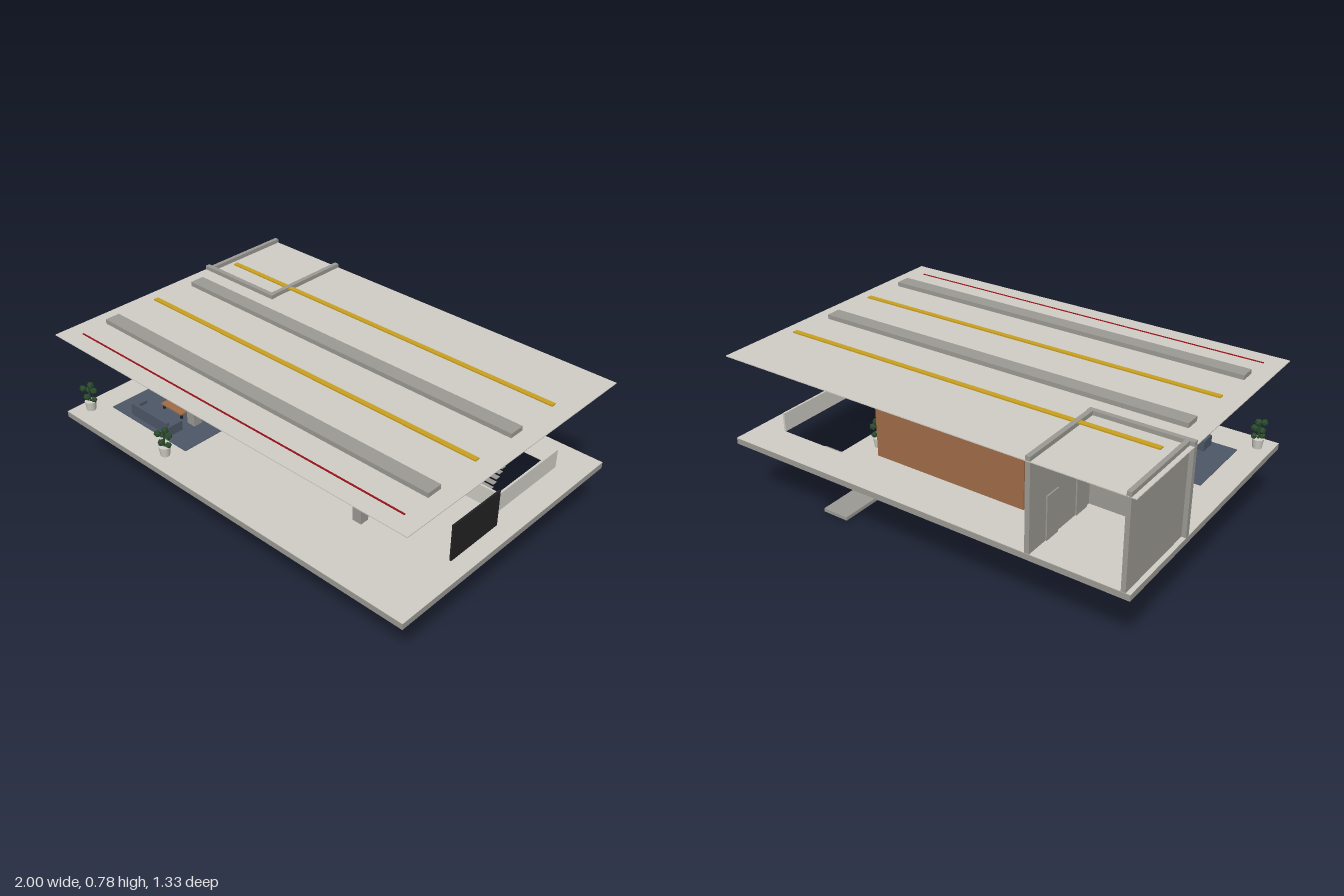
import * as THREE from 'three';

const mat = (name, color) => {
  const m = new THREE.MeshStandardMaterial({ color });
  m.name = name;
  return m;
};

export function createModel() {
  const light = mat('lightPlaster', 0xcfcdc5);
  const grey = mat('concreteGrey', 0x9c9a94);
  const wood = mat('wood', 0xa06b47);
  const red = mat('red', 0xc82d24);
  const darkRed = mat('deepRed', 0x9a1018);
  const yellow = mat('yellow', 0xc9a020);
  const slate = mat('slateBlue', 0x4c5766);
  const black = mat('black', 0x222222);
  const green = mat('leafGreen', 0x2a4a2c);

  const model = new THREE.Group();
  model.name = 'openPavilion';

  const add = (name, geo, material, parent = model) => {
    const m = new THREE.Mesh(geo, material);
    m.name = name;
    parent.add(m);
    return m;
  };
  // Box given by its extents on each axis
  const box = (name, material, [x0, x1], [y0, y1], [z0, z1], parent = model) => {
    const g = new THREE.BoxGeometry(x1 - x0, y1 - y0, z1 - z0);
    g.translate((x0 + x1) / 2, (y0 + y1) / 2, (z0 + z1) / 2);
    return add(name, g, material, parent);
  };
  const group = (name, x = 0, y = 0, z = 0) => {
    const g = new THREE.Group();
    g.name = name;
    g.position.set(x, y, z);
    model.add(g);
    return g;
  };

  // Floor slab and its pale finish, both cut by the stairwell
  const floorLayer = (name, material, y, depth) => {
    const rect = (T, x0, x1, z0, z1) => new T([[x0, -z0], [x1, -z0], [x1, -z1], [x0, -z1]]
      .map(p => new THREE.Vector2(...p)));
    const s = rect(THREE.Shape, -1, 1, -0.667, 0.667);
    s.holes.push(rect(THREE.Path, 0.53, 0.865, -0.5, -0.085));
    const g = new THREE.ExtrudeGeometry(s, { depth, bevelEnabled: false });
    g.rotateX(-Math.PI / 2);
    g.translate(0, y, 0);
    add(name, g, material);
  };
  floorLayer('floorSlab', grey, 0.325, 0.028);
  floorLayer('floorFinish', light, 0.353, 0.002);
  const F = 0.355;

  // Stairwell parapet, floating treads and lower landing
  box('parapetSide', light, [0.862, 0.872], [F, 0.445], [-0.5, -0.08]);
  box('parapetFront', light, [0.52, 0.862], [F, 0.445], [-0.09, -0.08]);
  const steps = 18;
  for (let i = 0; i < steps; i++) {
    const y = 0.02 + i * 0.0176, z = -0.13 - i * 0.0198;
    box('stairTread', grey, [0.53, 0.665], [y, y + 0.004], [z - 0.013, z + 0.013]);
  }
  box('lowerLanding', grey, [0.53, 0.665], [0, 0.017], [-0.5, -0.083]);

  // Columns
  for (const x of [-0.5, 0.5]) for (const z of [-0.207, 0.333])
    box('column', grey, [x - 0.023, x + 0.023], [F, 0.753], [z - 0.022, z + 0.022]);

  // Roof, beams and coloured strips
  box('roof', light, [-1, 1], [0.753, 0.757], [-0.667, 0.667]);
  for (const z of [-0.083, 0.417])
    box('roofBeam', grey, [-0.917, 0.917], [0.751, 0.778], [z - 0.036, z + 0.036]);
  for (const z of [-0.333, 0.167])
    box('yellowStrip', yellow, [-0.917, 0.917], [0.768, 0.774], [z - 0.012, z + 0.012]);
  box('redStrip', darkRed, [-0.917, 0.917], [0.752, 0.759], [0.576, 0.584]);

  // Back corner room, open to the rear
  box('roomFrontWall', grey, [-1, -0.542], [F, 0.776], [-0.235, -0.212]);
  box('roomOuterWall', grey, [-0.98, -0.96], [F, 0.776], [-0.667, -0.235]);
  box('roomInnerWall', grey, [-0.567, -0.545], [F, 0.776], [-0.667, -0.235]);
  for (const z of [-0.515, -0.3])
    box('roomDoor', grey, [-0.573, -0.541], [F, 0.555], [z - 0.04, z + 0.04]);

  // Feature wall with pale panel and red edge line
  box('featureWall', wood, [-0.38, 0.38], [F, 0.72], [-0.427, -0.402]);
  box('featureWallLine', red, [-0.373, 0.373], [0.708, 0.714], [-0.402, -0.397]);
  box('featurePanel', light, [-0.185, 0.185], [0.56, 0.63], [-0.402, -0.394]);

  // Reception desk
  box('deskBody', light, [-0.215, 0.215], [F, 0.443], [-0.225, -0.145]);
  box('deskTop', light, [-0.222, 0.222], [0.443, 0.448], [-0.231, -0.139]);
  box('deskLine', red, [-0.208, 0.208], [0.431, 0.438], [-0.145, -0.141]);
  for (const x of [-0.1, 0.1]) {
    box('monitorScreen', slate, [x - 0.02, x + 0.02], [0.455, 0.477], [-0.206, -0.2]);
    box('monitorStand', black, [x - 0.005, x + 0.005], [0.448, 0.455], [-0.207, -0.201]);
  }

  // Pendant lamps
  for (const [x, z] of [[-0.625, 0.325], [0, 0]])
    add('pendantLamp', new THREE.CylinderGeometry(0.09, 0.09, 0.004, 32), grey).position.set(x, 0.664, z);

  // Wall screen
  box('screen', black, [0.986, 0.994], [0.47, 0.637], [0.108, 0.392]);

  // Lounge: rug, two facing sofas, low table
  box('rug', slate, [-0.875, -0.365], [F, 0.358], [0.145, 0.505]);
  const sofa = (name, material, z, turn) => {
    const g = group(name, -0.63, F, z);
    g.rotation.y = turn;
    box('seat', material, [-0.115, 0.115], [0.005, 0.035], [-0.03, 0.04], g);
    box('backrest', material, [-0.12, 0.12], [0.005, 0.066], [-0.04, -0.024], g);
    for (const s of [-1, 1])
      box('armrest', material, [s * 0.122 - 0.01, s * 0.122 + 0.01], [0, 0.05], [-0.036, 0.04], g);
  };
  sofa('slateSofa', slate, 0.445, Math.PI);
  sofa('redSofa', red, 0.206, 0);
  box('tableTop', wood, [-0.7, -0.56], [0.38, 0.387], [0.292, 0.36]);
  for (const x of [-0.69, -0.57]) for (const z of [0.302, 0.35])
    box('tableLeg', black, [x - 0.005, x + 0.005], [0.358, 0.38], [z - 0.005, z + 0.005]);

  // Potted plants: clusters of faceted leaf balls
  const leaves = [[-0.014, 0.06, 0.006, 0.016], [0.018, 0.055, -0.008, 0.015], [0.004, 0.075, 0.018, 0.017],
    [-0.018, 0.092, -0.01, 0.016], [0.017, 0.098, -0.014, 0.017], [-0.012, 0.116, 0.022, 0.017], [0.004, 0.126, -0.008, 0.017]];
  for (const [x, z] of [[-0.935, 0.58], [-0.41, 0.58], [0.43, -0.36]]) {
    const g = group('pottedPlant', x, F, z);
    add('pot', new THREE.CylinderGeometry(0.027, 0.021, 0.045, 12), light, g).position.y = 0.0225;
    add('stem', new THREE.CylinderGeometry(0.004, 0.005, 0.08, 6), green, g).position.y = 0.082;
    leaves.forEach(([lx, ly, lz, r], i) => {
      const m = add('leafBall', new THREE.IcosahedronGeometry(r, 0), green, g);
      m.position.set(lx, ly, lz);
      m.rotation.set(i, i * 0.7, 0);
    });
  }
  return model;
}
